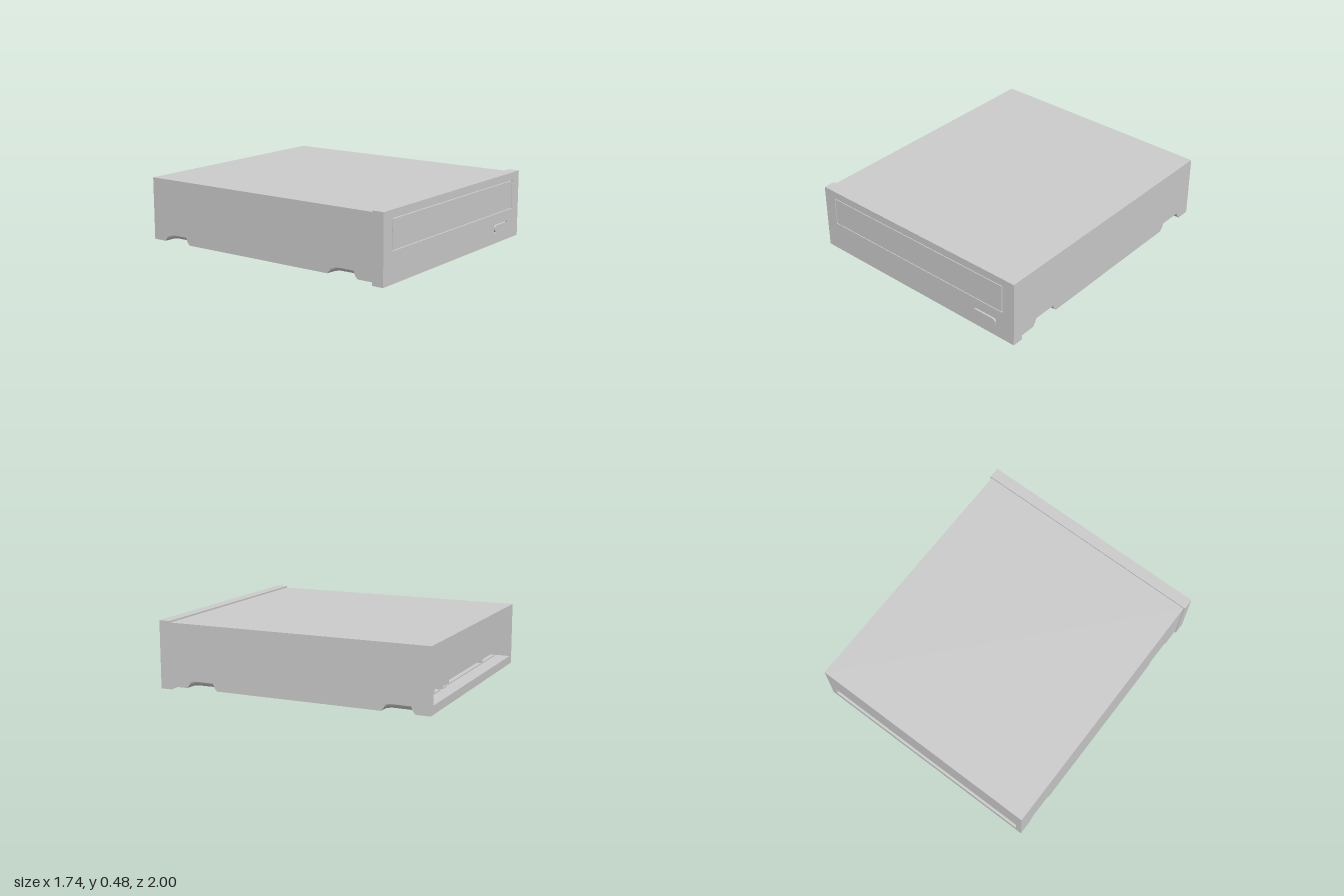
import * as THREE from 'three';

const grey = new THREE.MeshStandardMaterial({ color: 0xcccccc });

function add(parent, name, geometry, x = 0, y = 0, z = 0) {
  const mesh = new THREE.Mesh(geometry, grey);
  mesh.name = name;
  mesh.position.set(x, y, z);
  parent.add(mesh);
  return mesh;
}

// box given by its limits on each axis
function block(parent, name, [x0, x1], [y0, y1], [z0, z1]) {
  return add(parent, name, new THREE.BoxGeometry(x1 - x0, y1 - y0, z1 - z0),
    (x0 + x1) / 2, (y0 + y1) / 2, (z0 + z1) / 2);
}

// outline in plan [x, z], raised from y0 to y1
function planExtrude(points, y0, y1, steps = 1) {
  const shape = new THREE.Shape(points.map(([x, z]) => new THREE.Vector2(x, -z)));
  const g = new THREE.ExtrudeGeometry(shape, { depth: y1 - y0, steps, bevelEnabled: false });
  return g.rotateX(-Math.PI / 2).translate(0, y0, 0);
}

function roundedRect(target, x0, x1, y0, y1, r) {
  target.moveTo(x0 + r, y0);
  target.lineTo(x1 - r, y0);
  target.absarc(x1 - r, y0 + r, r, -Math.PI / 2, 0);
  target.lineTo(x1, y1 - r);
  target.absarc(x1 - r, y1 - r, r, 0, Math.PI / 2);
  target.lineTo(x0 + r, y1);
  target.absarc(x0 + r, y1 - r, r, Math.PI / 2, Math.PI);
  target.lineTo(x0, y0 + r);
  target.absarc(x0 + r, y0 + r, r, Math.PI, Math.PI * 1.5);
  return target;
}

const W = 0.86, BACK = -1, FRONT = 0.91;
const SLOT = { x: 0.815, y0: 0.08, y1: 0.185, z: -0.83 };
const NOTCHES = [-0.78, 0.67];

// bottom layer with four side notches that flare towards the underside
function baseGeometry() {
  const y0 = 0.02, y1 = 0.072;
  const side = [[W, BACK]];
  for (const c of NOTCHES) {
    side.push([W, c - 0.09], [0.805, c - 0.085], [0.78, c - 0.065],
      [0.78, c + 0.065], [0.805, c + 0.085], [W, c + 0.09]);
  }
  side.push([W, FRONT]);
  const outline = [...side, ...side.map(([x, z]) => [-x, z]).reverse()];
  const g = planExtrude(outline, y0, y1, 6);
  const p = g.attributes.position;
  for (let i = 0; i < p.count; i++) {
    const x = p.getX(i), z = p.getZ(i);
    const c = NOTCHES.find(n => Math.abs(z - n) < 0.1);
    if (c === undefined) continue;
    const f = ((y1 - p.getY(i)) / (y1 - y0)) ** 2;
    p.setZ(i, c + (z - c) * (1 + 0.33 * f));
    if (Math.abs(x) < W - 0.01) p.setX(i, x - Math.sign(x) * 0.025 * f);
  }
  g.computeVertexNormals();
  return g;
}

// open socket facing the back, with a row of pins
function socket(parent, name, x0, x1, y0, y1, rows, columns) {
  const group = new THREE.Group();
  group.name = name;
  parent.add(group);
  const t = 0.008, z0 = -0.91, z1 = SLOT.z;
  block(group, 'socketBottom', [x0, x1], [y0, y0 + t], [z0, z1]);
  block(group, 'socketTop', [x0, x1], [y1 - t, y1], [z0, z1]);
  block(group, 'socketSide', [x0, x0 + t], [y0 + t, y1 - t], [z0, z1]);
  block(group, 'socketSide', [x1 - t, x1], [y0 + t, y1 - t], [z0, z1]);
  for (let r = 0; r < rows; r++) {
    for (let c = 0; c < columns; c++) {
      const x = x0 + (x1 - x0) * (c + 0.5) / columns;
      const y = y0 + (y1 - y0) * (r + 1) / (rows + 1);
      add(group, 'pin', new THREE.BoxGeometry(0.009, 0.009, 0.06), x, y, z1 - 0.03);
    }
  }
}

export function createModel() {
  const model = new THREE.Group();
  model.name = 'discDrive';

  // metal case, with a connector slot across the back
  const body = new THREE.Group();
  body.name = 'case';
  model.add(body);
  add(body, 'caseBase', baseGeometry());
  block(body, 'caseFloor', [-W, W], [0.072, SLOT.y0], [BACK, FRONT]);
  const s = SLOT.x;
  add(body, 'caseMiddle', planExtrude([[-W, BACK], [-s, BACK], [-s, SLOT.z], [s, SLOT.z],
    [s, BACK], [W, BACK], [W, FRONT], [-W, FRONT]], SLOT.y0, SLOT.y1));
  block(body, 'caseTop', [-W, W], [SLOT.y1, 0.47], [BACK, FRONT]);

  // connectors inside the slot
  socket(model, 'audioSocket', 0.60, 0.69, 0.085, 0.15, 1, 2);
  socket(model, 'jumperSocket', 0.44, 0.56, 0.085, 0.15, 2, 3);
  socket(model, 'smallSocket', 0.32, 0.40, 0.085, 0.15, 1, 2);
  socket(model, 'dataSocket', -0.42, 0.28, 0.09, 0.16, 2, 20);
  socket(model, 'powerSocket', -0.735, -0.435, 0.09, 0.165, 1, 4);

  // front bezel with openings for the tray and the button
  const bezel = new THREE.Shape();
  bezel.moveTo(-0.87, 0).lineTo(0.87, 0).lineTo(0.87, 0.482).lineTo(-0.87, 0.482).closePath();
  bezel.holes.push(
    roundedRect(new THREE.Path(), -0.775, 0.775, 0.215, 0.427, 0.006),
    roundedRect(new THREE.Path(), 0.52, 0.722, 0.08, 0.138, 0.024));
  add(model, 'bezel', new THREE.ExtrudeGeometry(bezel,
    { depth: 0.082, bevelEnabled: false, curveSegments: 8 }), 0, 0, FRONT);

  // tray front and eject button, each with a thin gap around it
  block(model, 'trayFront', [-0.769, 0.768], [0.221, 0.421], [FRONT, 0.992]);
  const button = roundedRect(new THREE.Shape(), 0.525, 0.717, 0.085, 0.133, 0.02);
  add(model, 'ejectButton', new THREE.ExtrudeGeometry(button,
    { depth: 0.09, bevelEnabled: false, curveSegments: 8 }), 0, 0, FRONT);

  return model;
}
